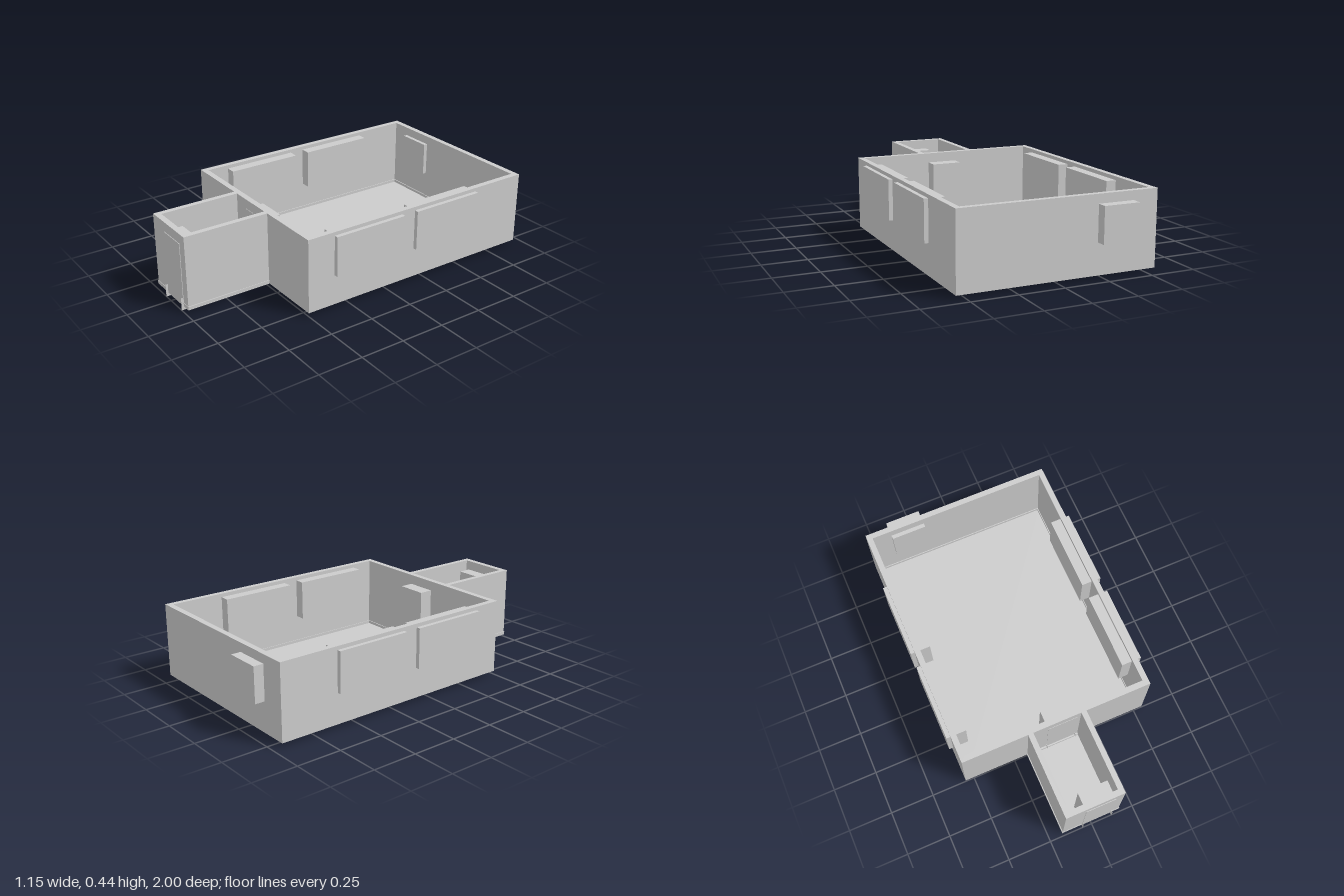
import * as THREE from 'three';

const material = new THREE.MeshStandardMaterial({ color: 0xcccccc, flatShading: true, side: THREE.DoubleSide });

// Box given by its limits on each axis
function box(name, x0, x1, y0, y1, z0, z1) {
  const mesh = new THREE.Mesh(new THREE.BoxGeometry(x1 - x0, y1 - y0, z1 - z0), material);
  mesh.position.set((x0 + x1) / 2, (y0 + y1) / 2, (z0 + z1) / 2);
  mesh.name = name;
  return mesh;
}

function rect(Type, x0, x1, z0, z1) {
  const r = new Type();
  r.moveTo(x0, -z0).lineTo(x1, -z0).lineTo(x1, -z1).lineTo(x0, -z1).closePath();
  return r;
}

// Rectangular ring extruded upward; outer and inner are [x0, x1, z0, z1]
function ring(name, outer, inner, y0, y1) {
  const shape = rect(THREE.Shape, ...outer);
  shape.holes.push(rect(THREE.Path, ...inner));
  const geo = new THREE.ExtrudeGeometry(shape, { depth: y1 - y0, bevelEnabled: false });
  geo.rotateX(-Math.PI / 2);
  const mesh = new THREE.Mesh(geo, material);
  mesh.position.y = y0;
  mesh.name = name;
  return mesh;
}

export function createModel() {
  const model = new THREE.Group();
  model.name = 'roofless house';
  const base = 0.02, top = 0.435;

  // Main room: walls, skirting and floor
  model.add(
    ring('mainWalls', [-0.55, 0.55, -0.945, 0.5], [-0.518, 0.518, -0.913, 0.467], base, top),
    ring('mainSkirting', [-0.52, 0.52, -0.915, 0.469], [-0.513, 0.513, -0.908, 0.462], base, 0.04),
    box('mainFloor', -0.549, 0.549, base, 0.024, -0.944, 0.499)
  );

  // Entrance hall: three walls, outer plinth and floor
  const hall = new THREE.Shape();
  [[-0.17, 0.5], [-0.17, 0.985], [0.17, 0.985], [0.17, 0.5], [0.14, 0.5], [0.14, 0.952], [-0.14, 0.952], [-0.14, 0.5]]
    .forEach(([x, z], i) => (i ? hall.lineTo(x, -z) : hall.moveTo(x, -z)));
  hall.closePath();
  const hallGeo = new THREE.ExtrudeGeometry(hall, { depth: top - base, bevelEnabled: false });
  hallGeo.rotateX(-Math.PI / 2);
  const hallWalls = new THREE.Mesh(hallGeo, material);
  hallWalls.name = 'hallWalls';
  hallWalls.position.y = base;
  model.add(
    hallWalls,
    ring('hallPlinth', [-0.174, 0.174, 0.497, 0.987], [-0.16, 0.16, 0.51, 0.975], base, 0.04),
    box('hallFloor', -0.169, 0.169, base, 0.024, 0.499, 0.984)
  );

  // Window blocks running through the walls
  for (const side of [-1, 1]) {
    const [x0, x1] = side > 0 ? [0.46, 0.573] : [-0.573, -0.46];
    for (const [z0, z1] of [[-0.61, -0.18], [-0.095, 0.34]]) {
      model.add(box('sideWindow', x0, x1, 0.19, 0.415, z0, z1));
    }
  }
  model.add(box('backWindow', -0.41, -0.21, 0.19, 0.385, -1, -0.89));

  // Doors with a thin foot plate at each lower corner
  for (const [name, z0, z1] of [['innerDoor', 0.39, 0.502], ['frontDoor', 0.878, 0.988]]) {
    const door = new THREE.Group();
    door.name = name;
    door.add(box('doorLeaf', -0.052, 0.12, base, 0.38, z0, z1));
    for (const x of [-0.053, 0.121]) {
      door.add(box('footPlate', x - 0.001, x + 0.001, 0, 0.07, z1 - 0.055, z1 + 0.012));
    }
    model.add(door);
  }
  return model;
}
